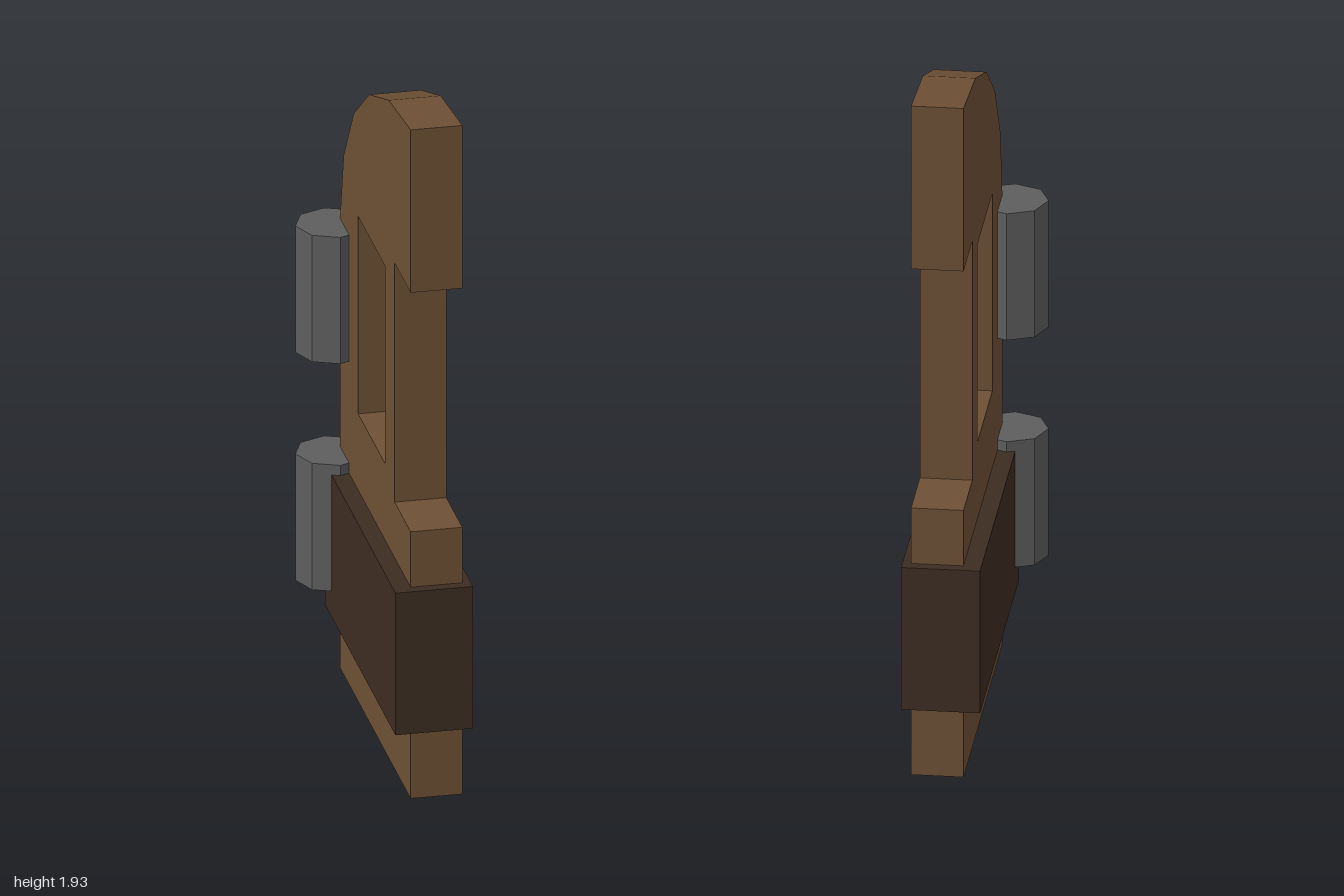
import * as THREE from 'three';

const wood = new THREE.MeshStandardMaterial({ color: 0x6e5035 });
wood.name = 'brown wood';
const darkWood = new THREE.MeshStandardMaterial({ color: 0x3d2d22 });
darkWood.name = 'dark wood';
const iron = new THREE.MeshStandardMaterial({ color: 0x5e5e5e });
iron.name = 'grey iron';

const LENGTH = 0.88, HALF = LENGTH / 2, THICK = 0.14;

function addMesh(parent, name, geometry, material, x = 0, y = 0, z = 0) {
  const mesh = new THREE.Mesh(geometry, material);
  mesh.name = name;
  mesh.position.set(x, y, z);
  parent.add(mesh);
}

// Door leaf: arched back corner, notched front edge, rectangular window
function leafGeometry() {
  const shape = new THREE.Shape();
  shape.moveTo(-HALF, 0);
  shape.lineTo(HALF, 0);
  shape.lineTo(HALF, 0.77);
  shape.lineTo(HALF - 0.2, 0.77);
  shape.lineTo(HALF - 0.2, 1.46);
  shape.lineTo(HALF, 1.46);
  for (let i = 0; i <= 5; i++) {
    const a = (i / 5) * Math.PI / 2;
    shape.lineTo(HALF - LENGTH * Math.sin(a), 1.305 + 0.625 * Math.cos(a));
  }
  shape.closePath();

  const front = HALF - 0.32, back = HALF - 0.655;
  shape.holes.push(new THREE.Path([
    new THREE.Vector2(back, 0.83),
    new THREE.Vector2(back, 1.4),
    new THREE.Vector2(front, 1.4),
    new THREE.Vector2(front, 0.83),
  ]));

  const geometry = new THREE.ExtrudeGeometry(shape, { depth: THICK, bevelEnabled: false });
  geometry.translate(0, 0, -THICK / 2);
  geometry.rotateY(-Math.PI / 2);
  return geometry;
}

// Eight-sided hinge barrel with flat faces
function hingeGeometry() {
  const geometry = new THREE.CylinderGeometry(0.1, 0.1, 0.365, 8).toNonIndexed();
  geometry.computeVertexNormals();
  return geometry;
}

// side is +1 for the left door and -1 for the right door
function makeDoor(name, side, x, z, turn) {
  const door = new THREE.Group();
  door.name = name;
  addMesh(door, 'doorLeaf', leafGeometry(), wood);
  addMesh(door, 'crossPlank', new THREE.BoxGeometry(0.21, 0.41, LENGTH), darkWood,
    side * 0.0125, 0.405, 0.03);
  for (const [label, y] of [['lowerHinge', 0.457], ['upperHinge', 1.115]]) {
    addMesh(door, label, hingeGeometry(), iron, side * 0.096, y, -0.418);
  }
  door.position.set(x, 0, z);
  door.rotation.y = turn;
  return door;
}

export function createModel() {
  const model = new THREE.Group();
  model.name = 'openDoubleDoors';
  model.add(makeDoor('leftDoor', 1, 0.72, 0, -0.205));
  model.add(makeDoor('rightDoor', -1, -0.755, 0.011, 0.125));
  return model;
}
